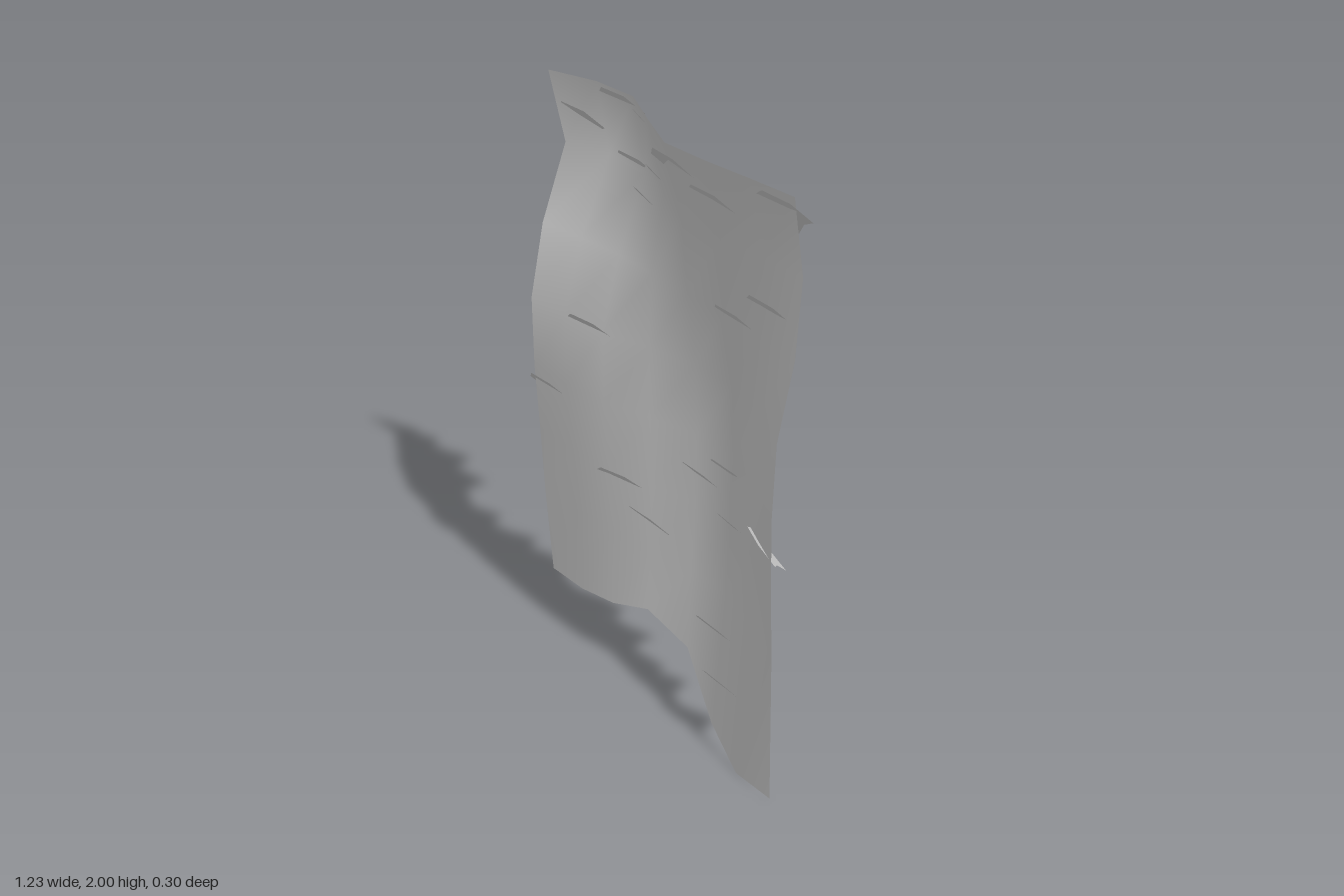
import * as THREE from 'three';

const COLS = 7, ROWS = 7, HALF = 0.57, STEP = 0.24;
// depth of the cloth, one row per height from the top down, left to right
const DEPTH = [
  [0.045, -0.012, -0.025, 0.045, 0.11, 0.1, 0.08, 0.065],
  [-0.008, -0.055, -0.065, -0.01, 0.052, 0.045, 0.03, 0.027],
  [0.085, 0.055, 0.035, 0.033, 0.03, 0.03, 0.035, 0.045],
  [0.137, 0.125, 0.1, 0.045, 0.0, -0.008, 0.035, 0.1],
  [0.137, 0.127, 0.1, 0.045, -0.008, -0.015, 0.04, 0.11],
  [0.125, 0.115, 0.09, 0.042, 0.0, -0.008, 0.045, 0.105],
  [0.115, 0.1, 0.08, 0.045, 0.01, 0.002, 0.05, 0.095],
  [0.095, 0.09, 0.08, 0.06, 0.025, 0.055, 0.085, 0.085],
];
// height of the ragged lower hem at each column
const HEM = [0.24, 0.245, 0.275, 0.335, 0.265, 0.08, 0.0, 0.01];

// leaves: x, y, in-plane roll, how far each turns to follow the cloth (0 to 1)
const LEAVES = [
  [-0.5, 1.865, -0.05, 0.3], [-0.29, 1.765, 0, 1], [-0.18, 1.695, 0, 1], [-0.11, 1.79, 0, 0.8],
  [-0.32, 1.96, 0, 1], [-0.155, 1.95, 0.05, 0.8], [0.075, 1.93, 0, 0.3], [0.225, 1.87, 0, 0.3],
  [0.51, 1.95, -0.08, 1], [0.435, 1.61, 0, 0.2], [0.285, 1.52, 0.08, 1], [-0.31, 1.275, 0, 1],
  [-0.515, 0.985, 0.05, 1], [0.225, 0.97, 0, 0], [0.095, 0.9, 0, 0], [0.475, 0.885, 0, 1],
  [0.26, 0.8, 0.12, 0.5], [-0.21, 0.77, 0.05, 1], [-0.105, 0.66, 0, 0.2], [0.22, 0.415, 0, 0],
  [0.3, 0.265, 0, 0],
];

const rowY = (row, col) => (row < ROWS ? 2 - row * STEP : HEM[col]);

// bilinear depth of the cloth at a point
function depthAt(x, y) {
  const u = THREE.MathUtils.clamp((x + HALF) / (2 * HALF) * COLS, 0, COLS - 0.001);
  const v = THREE.MathUtils.clamp((2 - y) / STEP, 0, ROWS - 0.001);
  const i = Math.floor(u), j = Math.floor(v);
  const across = (r) => THREE.MathUtils.lerp(DEPTH[r][i], DEPTH[r][i + 1], u - i);
  return THREE.MathUtils.lerp(across(j), across(j + 1), v - j);
}

// lobed leaf with a flat top, side points and a broad drooping tip
function leafGeometry() {
  const half = [[0.05, 0.045], [0.105, -0.01], [0.055, -0.05]];
  const mirrored = half.map(([x, y]) => [-x, y]).reverse();
  const outline = [...half, [0, -0.13], ...mirrored].map(([x, y]) => new THREE.Vector2(x, y));
  return new THREE.ShapeGeometry(new THREE.Shape(outline));
}

export function createModel() {
  const group = new THREE.Group();
  const material = new THREE.MeshStandardMaterial({ color: 0xcccccc, side: THREE.DoubleSide });

  // rippling cloth with an uneven hem
  const sheet = new THREE.PlaneGeometry(2 * HALF, 2, COLS, ROWS);
  const pos = sheet.attributes.position;
  for (let k = 0; k < pos.count; k++) {
    const col = k % (COLS + 1), row = Math.floor(k / (COLS + 1));
    pos.setY(k, rowY(row, col));
    pos.setZ(k, DEPTH[row][col]);
  }
  sheet.computeVertexNormals();
  const cloth = new THREE.Mesh(sheet, material);
  cloth.name = 'cloth';
  group.add(cloth);

  // leaves stuck through the cloth, tips hanging out behind
  const leafShape = leafGeometry();
  const leaves = new THREE.Group();
  leaves.name = 'leaves';
  for (const [x, y, roll, follow] of LEAVES) {
    const slope = (depthAt(x + 0.06, y) - depthAt(x - 0.06, y)) / 0.12;
    const leaf = new THREE.Mesh(leafShape, material);
    leaf.name = 'leaf';
    leaf.position.set(x, y, depthAt(x, y) - 0.006);
    leaf.rotation.set(0.64, -Math.atan(slope) * follow, roll, 'YXZ');
    leaves.add(leaf);
  }
  group.add(leaves);
  return group;
}
